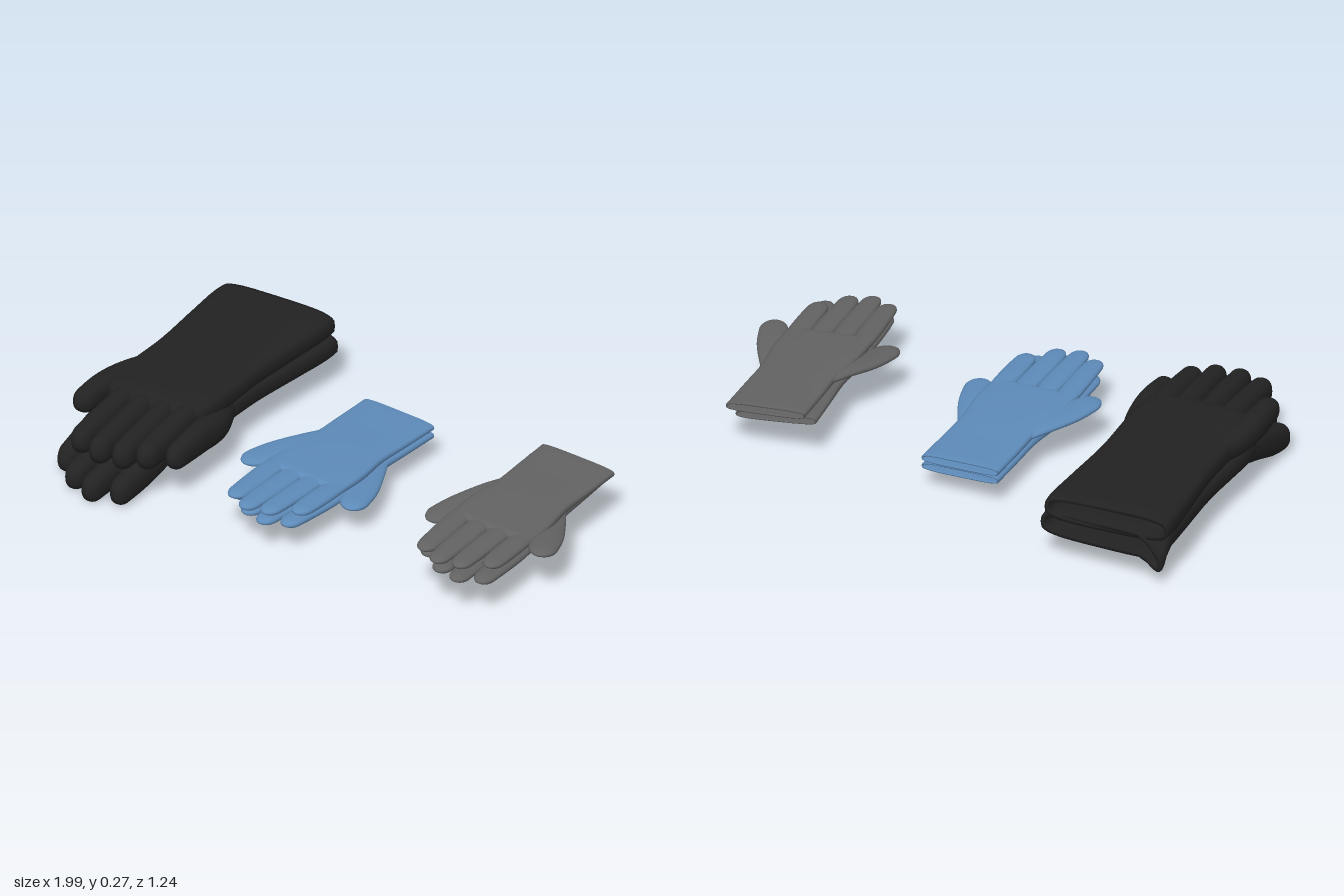
import * as THREE from 'three';

const materials = {
  blackRubber: new THREE.MeshStandardMaterial({ color: 0x222222, side: THREE.DoubleSide }),
  blueNitrile: new THREE.MeshStandardMaterial({ color: 0x5d8ab8, side: THREE.DoubleSide }),
  greyRubber: new THREE.MeshStandardMaterial({ color: 0x626262, side: THREE.DoubleSide }),
};
for (const [name, m] of Object.entries(materials)) m.name = name;

// Skins a row of rings; each ring is { c: centre, yaw, w, h }
function skin(rings, squareness, warp) {
  const N = 28, pos = [], idx = [];
  const soft = (v) => Math.sign(v) * Math.abs(v) ** squareness;
  for (const { c, yaw, w, h } of rings) {
    for (let j = 0; j < N; j++) {
      const a = (j / N) * Math.PI * 2;
      const x = w * soft(Math.cos(a)), y = h * soft(Math.sin(a));
      const p = new THREE.Vector3(c.x + x * Math.cos(yaw), c.y + y, c.z - x * Math.sin(yaw));
      if (warp) warp(p);
      pos.push(p.x, p.y, p.z);
    }
  }
  for (let i = 0; i < rings.length - 1; i++) {
    for (let j = 0; j < N; j++) {
      const k = (j + 1) % N, a = i * N + j, b = i * N + k;
      idx.push(a, b, b + N, a, b + N, a + N);
    }
  }
  const g = new THREE.BufferGeometry();
  g.setAttribute('position', new THREE.Float32BufferAttribute(pos, 3));
  g.setIndex(idx);
  g.computeVertexNormals();
  return g;
}

// Smooth rings through sections [x, y, z, halfWidth, halfHeight], rounded off at the end
function sweep(sections, tip) {
  const path = new THREE.CatmullRomCurve3(sections.map((s) => new THREE.Vector3(s[0], s[1], s[2])));
  const size = new THREE.CatmullRomCurve3(sections.map((s) => new THREE.Vector3(s[3], s[4], s[2])));
  const end = path.getPoint(1), rings = [];
  for (let i = 0; i <= 30; i++) {
    const t = Math.sin((i / 30) * Math.PI / 2);
    const c = path.getPoint(t), d = path.getTangent(t), s = size.getPoint(t);
    const k = Math.min(1, c.distanceTo(end) / tip);
    const f = Math.sqrt(Math.max(0, 1 - (1 - k) ** 2));
    rings.push({ c, yaw: Math.atan2(d.x, d.z), w: s.x * f, h: s.y * f });
  }
  return rings;
}

// One glove lying flat, fingers towards +z; side = +1 or -1 puts the thumb at +x or -x
function glove(name, mat, o) {
  const g = new THREE.Group();
  g.name = name;
  const add = (part, geo) => {
    const m = new THREE.Mesh(geo, mat);
    m.name = part;
    g.add(m);
  };
  const flip = (s) => [s[0] * o.side, ...s.slice(1)];

  // Hollow cuff and palm: the lining runs out to the rim, then the outside runs to the knuckles
  const body = sweep(o.palm.map(([z, w, h]) => [0, 0, z, w, h]), o.palmTip);
  const r = body[0], wall = o.wall;
  const inner = (dz, k) => ({
    c: new THREE.Vector3(0, 0, r.c.z + dz), yaw: 0, w: (r.w - wall) * k, h: (r.h - wall) * k,
  });
  const lining = [inner(0.25, 0.01), inner(0.24, 0.8), inner(0.1, 0.95), inner(0.01, 1), inner(0, 1)];
  add('cuffAndPalm', skin([...lining, ...body], 0.55, o.warp));

  // Fingers
  const names = ['indexFinger', 'middleFinger', 'ringFinger', 'littleFinger'];
  o.fingers.forEach(([bx, tx, tz], i) => {
    const [w, h] = o.finger, z0 = o.knuckle, mid = (z0 + tz) / 2;
    add(names[i], skin(sweep([
      [bx, 0, z0 - 0.1, w * 0.8, h * 0.8],
      [bx, o.lift, z0 + 0.03, w, h],
      [bx * 0.45 + tx * 0.55, o.lift + o.droop * 0.6, mid + 0.02, w, h],
      [tx, o.lift + o.droop, tz, w * 0.85, h * 0.85],
    ].map(flip), w * 1.1), 0.85));
  });

  // Thumb
  add('thumb', skin(sweep(o.thumb.map(flip), o.thumbTip), 0.85));

  g.position.set(...o.at);
  g.rotation.set(o.pitch || 0, o.turn || 0, o.roll || 0);
  return g;
}

// Thin disposable glove shape
const thin = (side, thumbY, extra) => ({
  side, wall: 0.004, palmTip: 0.03, knuckle: 0.2, lift: 0, droop: 0, finger: [0.041, 0.017],
  palm: [[-0.365, 0.152, 0.016], [-0.2, 0.15, 0.017], [-0.06, 0.148, 0.02], [0.08, 0.165, 0.021], [0.235, 0.165, 0.018]],
  fingers: [[0.126, 0.113, 0.49], [0.042, 0.037, 0.53], [-0.042, -0.042, 0.51], [-0.126, -0.128, 0.44]],
  thumb: [[0.085, 0, -0.1, 0.052, 0.014], [0.128, thumbY * 0.2, 0.01, 0.064, 0.018],
    [0.185, thumbY * 0.65, 0.125, 0.06, 0.018], [0.232, thumbY, 0.258, 0.045, 0.015]],
  thumbTip: 0.055, ...extra,
});

// Heavy gauntlet shape
const heavy = (side, extra) => ({
  side, wall: 0.014, palmTip: 0.06, knuckle: 0.22, finger: [0.044, 0.058], thumbTip: 0.05,
  palm: [[-0.612, 0.237, 0.049], [-0.56, 0.24, 0.053], [-0.4, 0.23, 0.051], [-0.17, 0.213, 0.05],
    [0, 0.215, 0.051], [0.14, 0.215, 0.054], [0.26, 0.195, 0.048]],
  ...extra,
});

const ramp = (v, a, b) => THREE.MathUtils.smoothstep(v, a, b);

export function createModel() {
  const root = new THREE.Group();
  root.name = 'gloveCollection';
  const pair = (name, ...gloves) => {
    const p = new THREE.Group();
    p.name = name;
    p.add(...gloves);
    root.add(p);
  };

  // Black gauntlets: the lower one droops at its fingers and at one cuff corner
  pair('blackGauntlets',
    glove('upperGauntlet', materials.blackRubber, heavy(-1, {
      at: [-0.73, 0.22, 0], turn: 0.05, lift: -0.013, droop: -0.022,
      fingers: [[0.105, 0.105, 0.545], [0.02, 0.01, 0.575], [-0.068, -0.08, 0.565], [-0.15, -0.152, 0.52]],
      thumb: [[0.15, 0, -0.04, 0.05, 0.04], [0.192, 0.002, 0.1, 0.052, 0.05],
        [0.208, 0.008, 0.22, 0.047, 0.05], [0.21, 0.008, 0.37, 0.038, 0.042]],
    })),
    glove('lowerGauntlet', materials.blackRubber, heavy(1, {
      at: [-0.74, 0.149, 0], lift: -0.028, droop: -0.073,
      fingers: [[0.125, 0.12, 0.58], [0.035, 0.025, 0.62], [-0.06, -0.075, 0.58], [-0.165, -0.168, 0.495]],
      thumb: [[0.15, 0, -0.04, 0.05, 0.045], [0.222, 0.012, 0.12, 0.053, 0.056],
        [0.248, 0.028, 0.25, 0.043, 0.058], [0.257, 0.02, 0.435, 0.034, 0.046]],
      warp: (p) => { p.y -= 0.065 * ramp(-p.x, 0.15, 0.24) * ramp(-p.z, 0.54, 0.6); },
    })));

  // Blue disposable gloves
  pair('blueGloves',
    glove('upperBlueGlove', materials.blueNitrile,
      thin(-1, -0.006, { at: [-0.06, 0.141, 0], pitch: -0.018, roll: -0.04 })),
    glove('lowerBlueGlove', materials.blueNitrile,
      thin(1, 0.006, { at: [-0.06, 0.109, 0], pitch: -0.018, roll: -0.04 })));

  // Grey gloves, slightly turned and tilted
  pair('greyGloves',
    glove('upperGreyGlove', materials.greyRubber,
      thin(-1, -0.035, { at: [0.713, 0.181, -0.035], turn: 0.06, roll: -0.08 })),
    glove('lowerGreyGlove', materials.greyRubber,
      thin(1, 0.035, { at: [0.705, 0.149, -0.012], turn: 0.12, roll: -0.08 })));

  return root;
}
